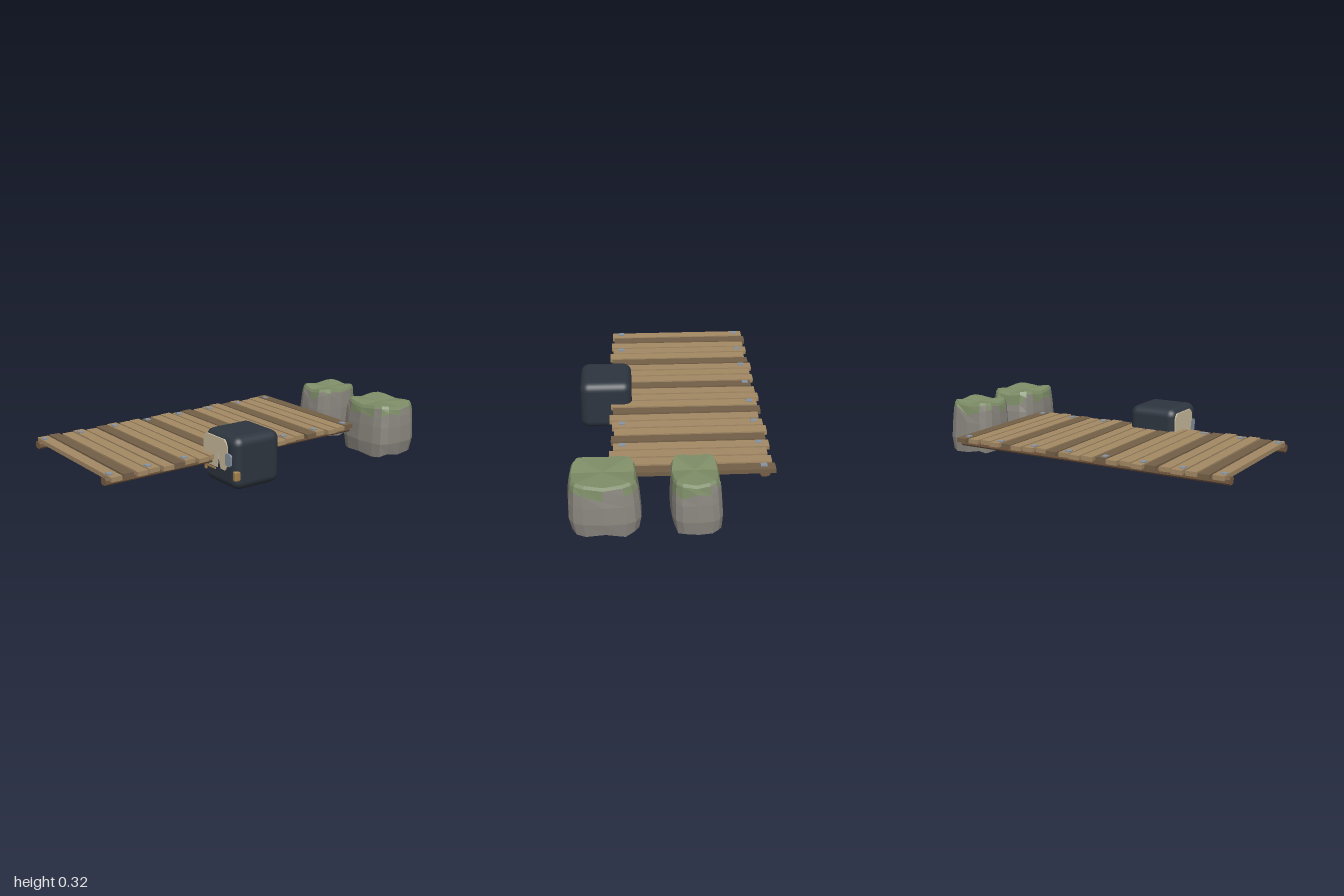
import * as THREE from 'three';
import { RoundedBoxGeometry } from 'three/addons/geometries/RoundedBoxGeometry.js';

const mat = (name, color, extra = {}) => {
  const m = new THREE.MeshStandardMaterial({ color, ...extra });
  m.name = name;
  return m;
};

// repeatable value in 0..1
const hash = (n) => {
  const s = Math.sin(n * 127.1 + 11.7) * 43758.5453;
  return s - Math.floor(s);
};

export function createModel() {
  const root = new THREE.Group();
  const M = {
    plank: mat('light wood', 0xa38964),
    darkPlank: mat('dark wood', 0x735f47),
    rail: mat('rail wood', 0x775c43),
    metal: mat('bolt metal', 0x8793a0),
    navy: mat('dark navy', 0x2d353f),
    cream: mat('cream', 0xccbd9f),
    tan: mat('tan', 0xa5814f),
    stone: mat('stone', 0x8b8780, { flatShading: true }),
    moss: mat('moss', 0x7f8e68, { flatShading: true }),
  };

  const add = (parent, name, geo, material, x = 0, y = 0, z = 0) => {
    const m = new THREE.Mesh(geo, material);
    m.name = name;
    m.position.set(x, y, z);
    parent.add(m);
    return m;
  };

  // extruded plate with a polygon outline, front at +z
  const plate = (pts, depth) => new THREE.ExtrudeGeometry(
    new THREE.Shape(pts.map(([x, y]) => new THREE.Vector2(x, y))),
    { depth, bevelEnabled: false });

  // rectangle with cut corners
  const octagon = (w, h, c) => [
    [-w + c, -h], [w - c, -h], [w, -h + c], [w, h - c],
    [w - c, h], [-w + c, h], [-w, h - c], [-w, -h + c]];

  // ---- boardwalk ----
  const deck = new THREE.Group();
  deck.name = 'boardwalk';
  root.add(deck);

  for (const x of [-0.49, 0.275]) {
    add(deck, 'rail', plate(octagon(0.026, 0.02, 0.01), 1.66), M.rail, x, 0.149, -0.66);
  }

  const offsets = [0, 0.012, 0.027, 0.006, 0.018];
  for (let i = 0; i < 22; i++) {
    const z = -0.638 + i * 0.0755;
    const p = add(deck, 'plank', new THREE.BoxGeometry(0.855, 0.025, 0.063),
      i % 4 === 0 ? M.darkPlank : M.plank, -0.118 + offsets[i % 5], 0.1665, z);
    p.rotation.x = (hash(i) - 0.5) * 0.06;
    p.rotation.z = (hash(i + 40) - 0.5) * 0.006;
    // bolts on every third plank
    if (i % 3 === 0) {
      for (const x of [-0.485, 0.265]) {
        add(deck, 'bolt', new THREE.BoxGeometry(0.036, 0.012, 0.028), M.metal, x, 0.178, z + 0.011);
      }
    }
  }

  // ---- dark block with face ----
  const block = new THREE.Group();
  block.name = 'darkBlock';
  root.add(block);
  add(block, 'blockBody', new RoundedBoxGeometry(0.302, 0.296, 0.303, 4, 0.05), M.navy, 0.357, 0.162, 0.189);

  // light face plate with a pointed notch cut from below
  add(block, 'facePlate', plate([
    [0.24, 0.115], [0.342, 0.115], [0.35, 0.155], [0.356, 0.212], [0.362, 0.155], [0.375, 0.115],
    [0.415, 0.115], [0.433, 0.14], [0.435, 0.25], [0.425, 0.27], [0.405, 0.285],
    [0.24, 0.285], [0.22, 0.268], [0.216, 0.25], [0.216, 0.14],
  ], 0.009), M.cream, 0, 0, 0.337);

  const patch = add(block, 'metalPatch', plate(octagon(0.025, 0.035, 0.01), 0.012), M.metal, 0.445, 0.181, 0.337);
  patch.rotation.z = -0.06;

  for (const x of [0.222, 0.491]) {
    add(block, 'cornerTab', new RoundedBoxGeometry(0.026, 0.056, 0.05, 2, 0.008), M.tan, x, 0.1, 0.317);
  }
  add(block, 'bar', new THREE.BoxGeometry(0.115, 0.009, 0.009), M.tan, 0.268, 0.104, 0.342);

  // ---- mossy rocks ----
  const rock = (name, cx, cz, hx, hz, lean, seed) => {
    const N = 16;
    const heights = [0.012, 0.09, 0.19, 0.25, 0.302, 0.318];
    const scales = [0.93, 1.0, 0.975, 0.94, 0.9, 0.85];
    const rings = heights.map((h, r) => Array.from({ length: N }, (_, i) => {
      const a = (i / N) * Math.PI * 2;
      const c = Math.cos(a), s = Math.sin(a);
      const corner = Math.abs(Math.sin(2 * a));
      const k = scales[r] * (1 - 0.04 * hash(seed + i));
      let y = h;
      if (r === 0) y += (hash(seed + i * 3) - 0.5) * 0.024;
      if (r === 3) y += (hash(seed + i * 5) - 0.4) * 0.07; // ragged moss edge
      if (r >= 4) y -= 0.016 * (1 - corner);               // dipped rim
      return new THREE.Vector3(
        cx + lean * (h / 0.32) + Math.sign(c) * Math.abs(c) ** 0.58 * hx * k, y,
        cz + Math.sign(s) * Math.abs(s) ** 0.58 * hz * k);
    }));
    const stone = [], moss = [];
    const tri = (list, ...v) => v.forEach((p) => list.push(p.x, p.y, p.z));
    for (let r = 0; r < rings.length - 1; r++) {
      for (let i = 0; i < N; i++) {
        const j = (i + 1) % N;
        const a = rings[r][i], b = rings[r][j], c = rings[r + 1][j], d = rings[r + 1][i];
        const mossy = r === 4 || (r === 3 && hash(seed + i * 7) > 0.35);
        const list = mossy ? moss : stone;
        tri(list, a, d, c);
        tri(list, a, c, b);
      }
    }
    const top = new THREE.Vector3(cx + lean, 0.304, cz);
    const base = new THREE.Vector3(cx, 0.014, cz);
    for (let i = 0; i < N; i++) {
      const j = (i + 1) % N;
      tri(moss, top, rings[5][j], rings[5][i]);
      tri(stone, base, rings[0][i], rings[0][j]);
    }
    const g = new THREE.Group();
    g.name = name;
    root.add(g);
    for (const [part, list, m] of [['rockSides', stone, M.stone], ['mossCap', moss, M.moss]]) {
      const geo = new THREE.BufferGeometry();
      geo.setAttribute('position', new THREE.Float32BufferAttribute(list, 3));
      geo.computeVertexNormals();
      add(g, part, geo, m);
    }
  };
  rock('smallRock', -0.118, -0.838, 0.138, 0.164, 0.016, 3);
  rock('largeRock', 0.353, -0.838, 0.193, 0.164, 0.008, 21);

  return root;
}
